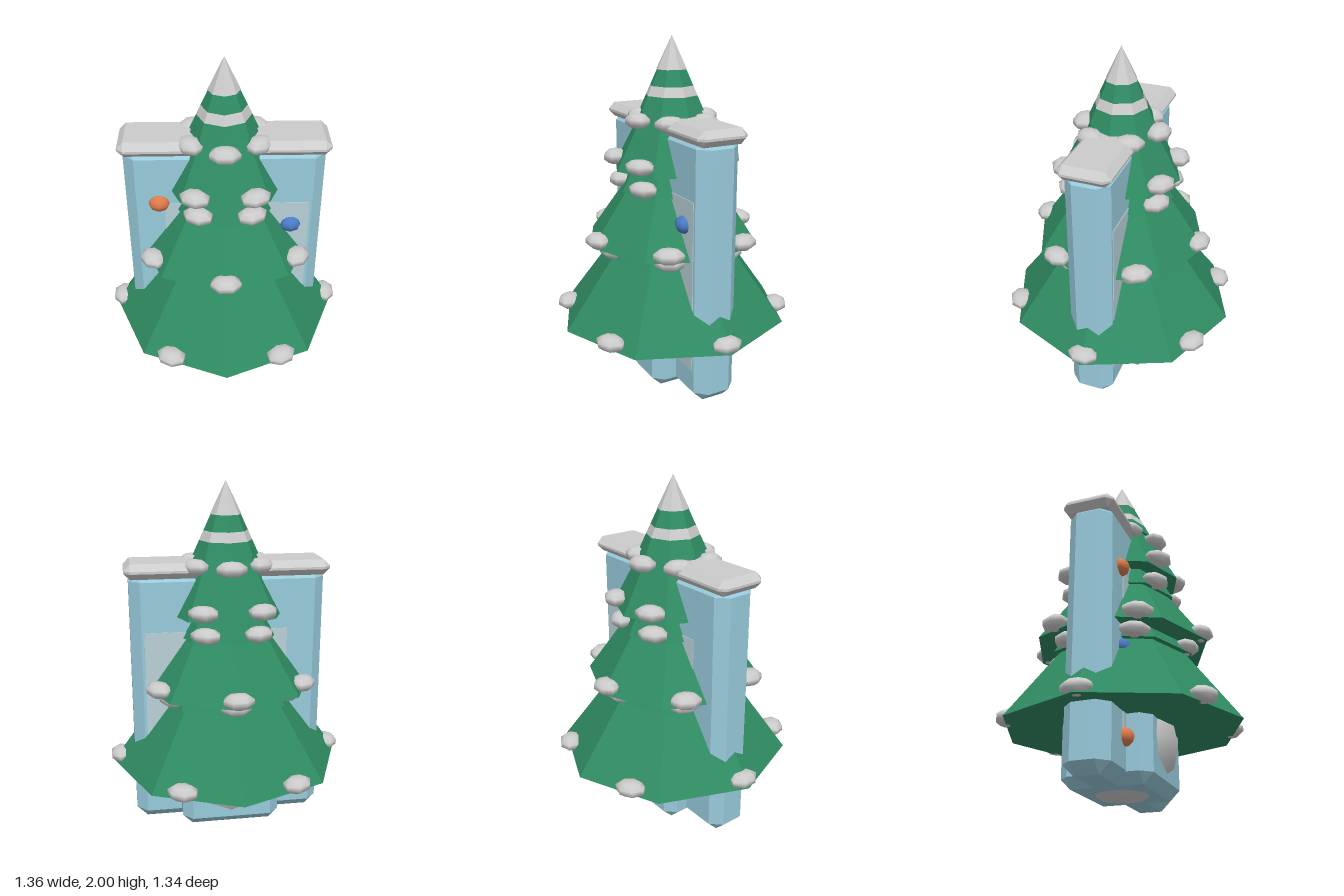
import * as THREE from 'three';
import { ConvexGeometry } from 'three/addons/geometries/ConvexGeometry.js';

const mat = (color, flatShading = true) => new THREE.MeshStandardMaterial({ color, flatShading });
const green = mat(0x2f8b62), wall = mat(0x98cadb), panel = mat(0xb8d0d7);
const grey = mat(0xcccccc), snow = mat(0xdddddd, false), stone = mat(0xcccccc, false);
const orange = mat(0xe07b4c, false), blue = mat(0x4a7cc6, false);

// Box with all edges cut at 45 degrees
function chamferBox(w, h, d, c) {
  const pts = [];
  for (const sx of [-1, 1]) for (const sy of [-1, 1]) for (const sz of [-1, 1]) {
    const x = w / 2, y = h / 2, z = d / 2;
    pts.push(new THREE.Vector3(sx * x, sy * (y - c), sz * (z - c)));
    pts.push(new THREE.Vector3(sx * (x - c), sy * y, sz * (z - c)));
    pts.push(new THREE.Vector3(sx * (x - c), sy * (y - c), sz * z));
  }
  return new ConvexGeometry(pts);
}

export function createModel() {
  const model = new THREE.Group();
  const add = (name, geo, material, x, y, z) => {
    const mesh = new THREE.Mesh(geo, material);
    mesh.name = name;
    mesh.position.set(x, y, z);
    model.add(mesh);
    return mesh;
  };
  // Eight-sided frustum between two heights
  const tier = (name, material, y0, r0, y1, r1) =>
    add(name, new THREE.CylinderGeometry(r1, r0, y1 - y0, 8), material, 0, (y0 + y1) / 2, 0);

  // Wall slab with its coping, cross block and recessed-looking panel
  add('wallSlab', chamferBox(1.09, 1.495, 0.25, 0.06), wall, 0, 0.7875, 0);
  add('baseBlock', chamferBox(0.565, 0.56, 0.5, 0.055), wall, 0, 0.32, 0);
  add('coping', chamferBox(1.14, 0.085, 0.295, 0.036), grey, 0, 1.5325, 0);
  add('wallPanel', new THREE.BoxGeometry(0.8, 0.965, 0.258), panel, 0.07, 0.7125, 0);

  // Round core showing through the base block
  add('coreBall', new THREE.SphereGeometry(0.31, 12, 8), stone, 0, 0.31, 0);

  // Tree tiers, bottom to top
  tier('treeTier', green, 0.39, 0.67, 0.9, 0.295);
  tier('treeTier', green, 0.79, 0.41, 0.92, 0.33);
  tier('treeTier', green, 0.86, 0.5, 1.2, 0.26);
  tier('treeTier', green, 1.16, 0.31, 1.3, 0.235);
  tier('treeTier', green, 1.28, 0.34, 1.62, 0.16);
  tier('treeTier', green, 1.6, 0.185, 2.0, 0);

  // White band and tip
  tier('whiteBand', grey, 1.68, 0.148, 1.733, 0.124);
  tier('whiteTip', grey, 1.82, 0.087, 2.0, 0);

  // Snow clumps, six per ring: height, radius, starting angle
  const clump = new THREE.SphereGeometry(1, 7, 5);
  const rings = [
    [0.43, 0.62, 0], [0.83, 0.38, 30], [0.9, 0.465, 30],
    [1.2, 0.29, 0], [1.33, 0.32, 0], [1.55, 0.21, 30],
  ];
  for (const [y, r, start] of rings) {
    for (let i = 0; i < 6; i++) {
      const a = THREE.MathUtils.degToRad(start + i * 60);
      const m = add('snowClump', clump, snow, r * Math.cos(a), y, r * Math.sin(a));
      m.scale.set(0.07, 0.044, 0.09);
      m.rotation.y = -a;
    }
  }

  // Coloured baubles on the front of the wall
  const ball = new THREE.SphereGeometry(1, 8, 6);
  const baubles = [[-0.36, 1.2, orange], [0.37, 1.05, blue], [-0.33, 0.735, blue], [-0.295, 0.265, orange]];
  for (const [x, y, material] of baubles) {
    add('bauble', ball, material, x, y, 0.115).scale.set(0.062, 0.05, 0.06);
  }
  return model;
}
